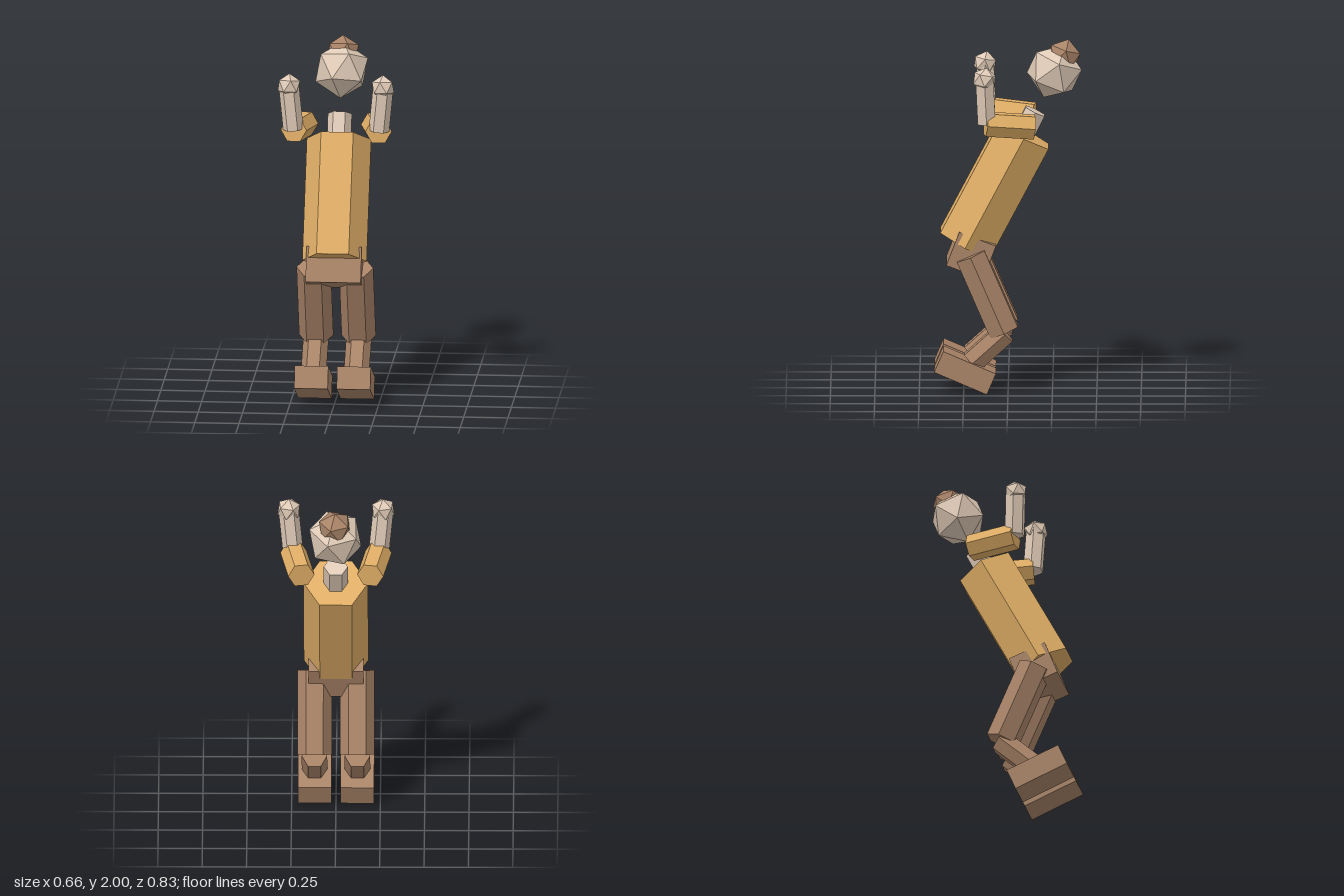
import * as THREE from 'three';

const material = (name, color) => {
  const m = new THREE.MeshStandardMaterial({ color, flatShading: true });
  m.name = name;
  return m;
};

export function createModel() {
  const ochre = material('ochre cloth', 0xe0ae66);
  const beige = material('beige skin', 0xe0cbb7);
  const brown = material('brown', 0xa98468);
  const model = new THREE.Group();
  model.name = 'figure';
  const vec = (p) => new THREE.Vector3(...p);

  const add = (name, geometry, mat) => {
    const mesh = new THREE.Mesh(geometry, mat);
    mesh.name = name;
    model.add(mesh);
    return mesh;
  };

  // Six-sided bar from start to end, with two corners kept level along x
  function bar(name, start, end, radius, mat) {
    const a = vec(start), b = vec(end);
    const y = b.clone().sub(a);
    const length = y.length();
    y.normalize();
    const x = new THREE.Vector3(1, 0, 0).addScaledVector(y, -y.x).normalize();
    const z = x.clone().cross(y);
    const geometry = new THREE.CylinderGeometry(radius, radius, length, 6).rotateY(Math.PI / 6);
    geometry.applyMatrix4(new THREE.Matrix4().makeBasis(x, y, z));
    add(name, geometry, mat).position.copy(a.add(b).multiplyScalar(0.5));
  }

  // Icosahedron turned so that two neighbouring corners point along p and q
  function ball(name, centre, radius, p, q, mat) {
    const a = vec(p).normalize(), b = vec(q).normalize();
    const y = a.clone().add(b).normalize();
    const x = a.clone().sub(b).normalize();
    const z = x.clone().cross(y);
    const geometry = new THREE.IcosahedronGeometry(radius, 0);
    geometry.applyMatrix4(new THREE.Matrix4().makeBasis(x, y, z));
    add(name, geometry, mat).position.set(...centre);
  }

  // Box pitched with its front raised
  function block(name, size, centre, pitch, mat) {
    const mesh = add(name, new THREE.BoxGeometry(...size), mat);
    mesh.position.set(...centre);
    mesh.rotation.x = -pitch;
  }

  // Body and head, leaning back
  bar('torso', [0, 0.83, 0.243], [0, 1.457, -0.088], 0.182, ochre);
  block('pelvis', [0.312, 0.204, 0.222], [0, 0.785, 0.208], 0.368, brown);
  bar('neck', [0, 1.43, -0.074], [0, 1.587, -0.152], 0.068, beige);
  ball('head', [0.002, 1.815, -0.26], 0.162, [0, 0.15, -0.06], [0.145, 0.06, -0.027], beige);
  ball('hairBun', [0.004, 1.903, -0.311], 0.1, [0, 0.095, -0.03], [0.025, 0.017, -0.096], brown);

  // Limbs, mirrored
  for (const [side, s] of [['left', 1], ['right', -1]]) {
    bar(side + 'Thigh', [s * 0.12, 0.346, 0.022], [s * 0.12, 0.783, 0.211], 0.097, brown);
    bar(side + 'Shin', [s * 0.121, 0.17, 0.205], [s * 0.121, 0.34, 0.017], 0.072, brown);
    block(side + 'Foot', [0.19, 0.13, 0.323], [s * 0.12, 0.124, 0.242], 0.407, brown);
    bar(side + 'UpperArm', [s * 0.194, 1.53, -0.145], [s * 0.24, 1.555, 0.125], 0.075, ochre);
    bar(side + 'Forearm', [s * 0.242, 1.56, 0.12], [s * 0.267, 1.815, 0.132], 0.058, beige);
    ball(side + 'Hand', [s * 0.266, 1.813, 0.132], 0.07, [0, 0.068, -0.018], [s * -0.015, 0.035, 0.058], beige);
  }
  return model;
}
